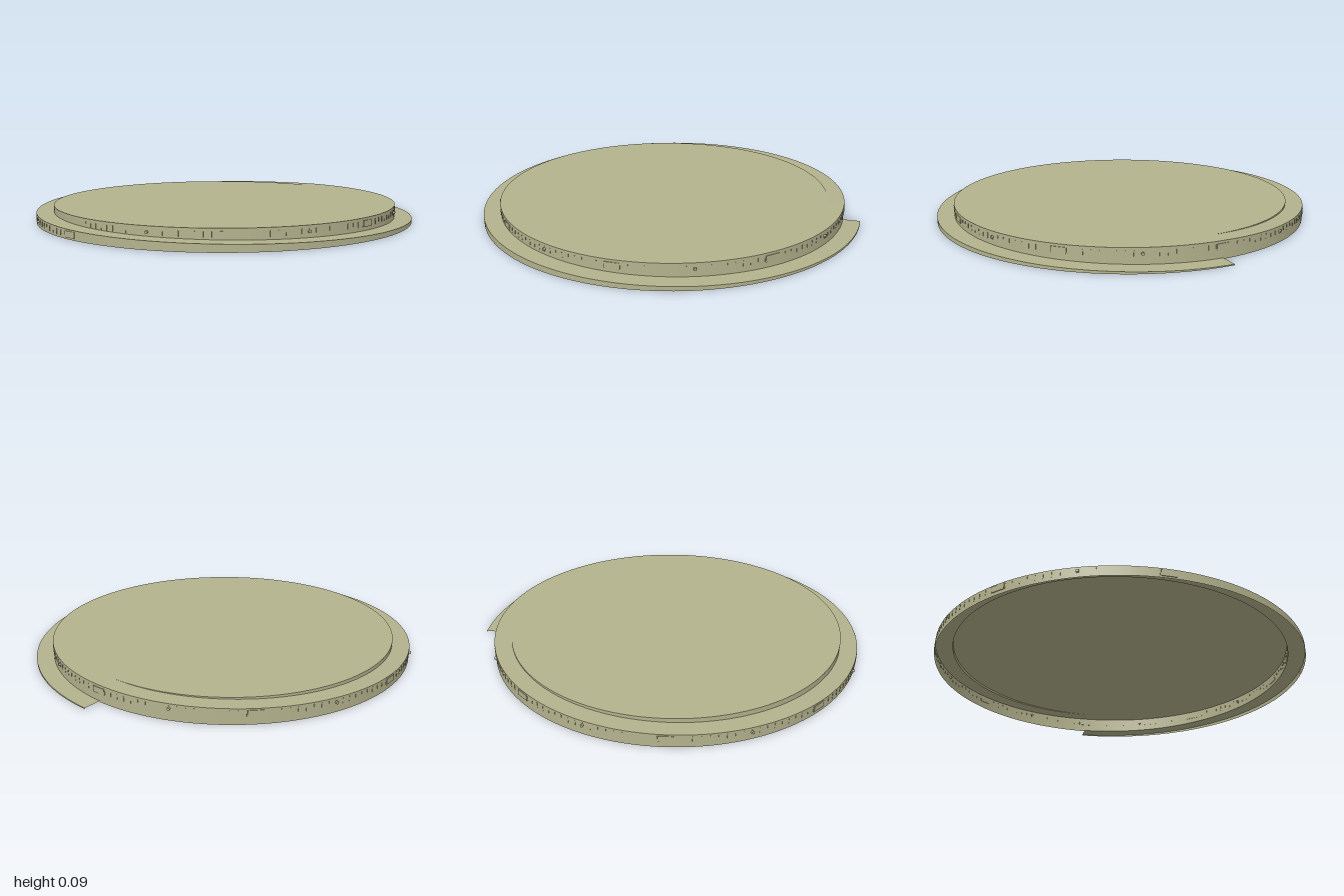
import * as THREE from 'three';

const TOP = 0.085, STEPS = 192;
const CX = -0.02, CZ = -0.02;

// Spiral rule: t counts turns from the open end at +x, passing the front first
const radius = t => 1.02 - 0.0865 * t;
const rampHeight = t => 0.005 + 0.08 * Math.min(t, 1);
const spiral = (t, y, r = radius(t)) => {
  const a = t * Math.PI * 2;
  return [CX + r * Math.cos(a), y, CZ + r * Math.sin(a)];
};

// Smooth strip between two curves over one turn
function strip(curveA, curveB) {
  const pos = [], idx = [];
  for (let i = 0; i <= STEPS; i++) {
    const t = i / STEPS;
    pos.push(...curveA(t), ...curveB(t));
    if (i < STEPS) {
      const k = i * 2;
      idx.push(k, k + 1, k + 2, k + 2, k + 1, k + 3);
    }
  }
  const g = new THREE.BufferGeometry();
  g.setAttribute('position', new THREE.Float32BufferAttribute(pos, 3));
  g.setIndex(idx);
  g.computeVertexNormals();
  return g;
}

export function createModel() {
  const model = new THREE.Group();
  model.name = 'spiralDisc';
  const mat = new THREE.MeshStandardMaterial({ color: 0xb4b38e, side: THREE.DoubleSide });

  const add = (name, geometry, parent = model) => {
    const mesh = new THREE.Mesh(geometry, mat);
    mesh.name = name;
    parent.add(mesh);
    return mesh;
  };

  // Hollow shell: outer wall, rising ledge, inner wall and top, open underneath
  add('outerWall', strip(t => spiral(t, rampHeight(t)), t => spiral(t, 0)));
  add('risingLedge', strip(t => spiral(t, rampHeight(t), radius(t + 1)), t => spiral(t, rampHeight(t))));
  add('innerWall', strip(t => spiral(t + 1, TOP), t => spiral(t + 1, rampHeight(t))));
  add('topPlate', strip(() => [CX, TOP, CZ], t => spiral(t + 1, TOP)));

  // Place a small part on the wall, facing outward
  const bandHeight = t => Math.min(rampHeight(t) - 0.022, 0.058);
  const onWall = (mesh, t) => {
    mesh.position.set(...spiral(t, bandHeight(t)));
    mesh.rotation.y = Math.PI / 2 - t * Math.PI * 2;
  };

  // Graduation ribs around the rim
  const ribs = new THREE.Group();
  ribs.name = 'rimMarks';
  model.add(ribs);
  const ribGeo = new THREE.BoxGeometry(0.003, 0.026, 0.003);
  for (let i = 0; i <= 160; i++) {
    const t = 0.5 + i / 160;
    onWall(add('rimMark', ribGeo, ribs), t);
  }

  // Blank plates and small studs alternate every eighth of a turn
  const plateGeo = new THREE.BoxGeometry(0.07, 0.03, 0.006);
  const studGeo = new THREE.CylinderGeometry(0.007, 0.007, 0.02, 10).rotateX(Math.PI / 2);
  for (let i = 0; i < 8; i++) {
    onWall(add('rimPlate', plateGeo, ribs), 0.5 + i / 8);
    onWall(add('rimStud', studGeo, ribs), 0.5625 + i / 8);
  }
  return model;
}
